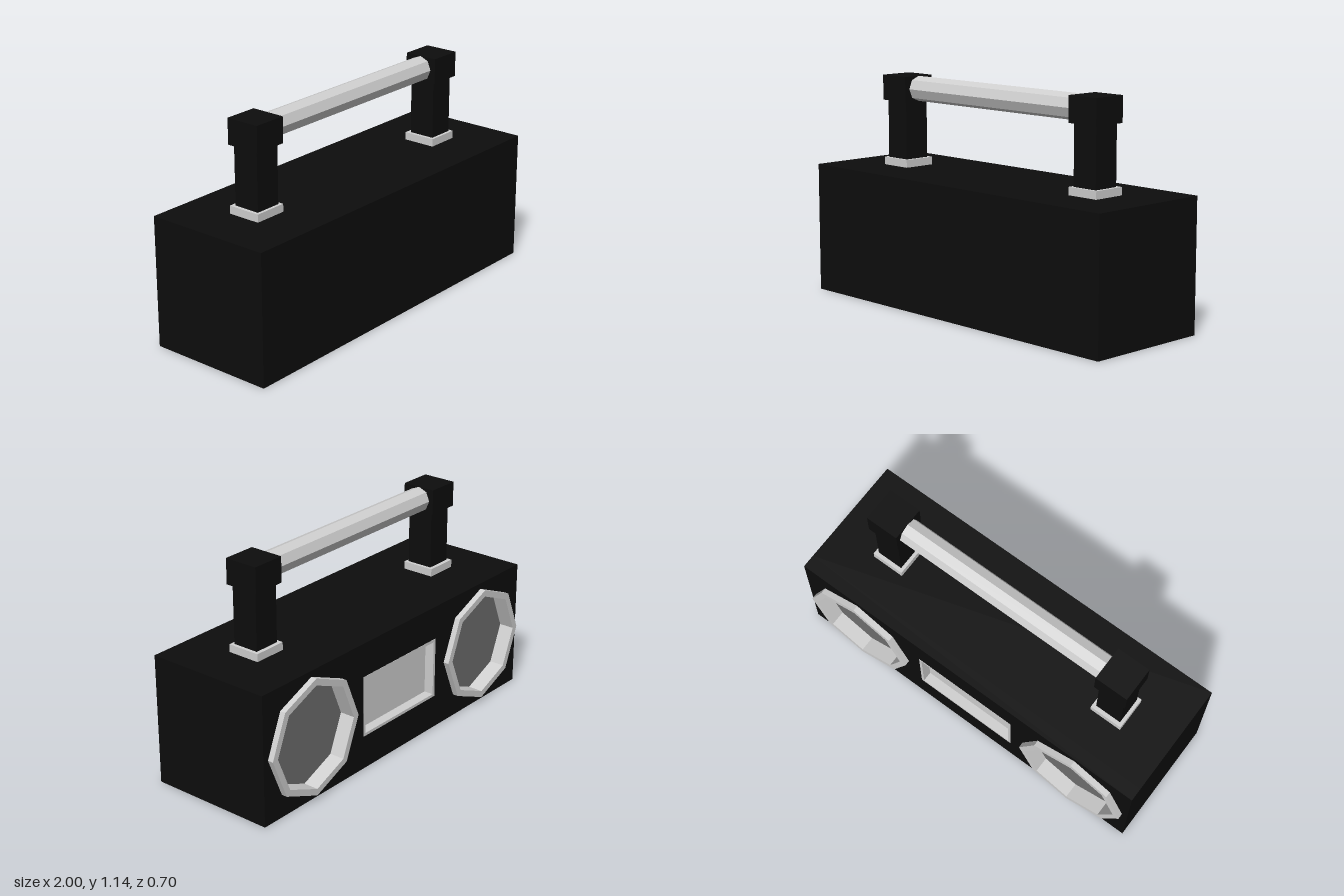
import * as THREE from 'three';

const flat = (name, color) => {
  const m = new THREE.MeshStandardMaterial({ color });
  m.name = name;
  return m;
};

export function createModel() {
  const group = new THREE.Group();
  const black = flat('black casing', 0x0d0d0d);
  const silver = flat('silver trim', 0xd0d0d0);
  const grey = flat('speaker grey', 0x6e6e6e);

  const add = (name, geometry, material, x = 0, y = 0, z = 0) => {
    const mesh = new THREE.Mesh(geometry, material);
    mesh.name = name;
    mesh.position.set(x, y, z);
    group.add(mesh);
    return mesh;
  };
  const box = (name, material, x, y0, y1, z0, z1, w) =>
    add(name, new THREE.BoxGeometry(w, y1 - y0, z1 - z0), material, x, (y0 + y1) / 2, (z0 + z1) / 2);

  // Outline helpers
  const octagon = (r, cx = 0, cy = 0) => Array.from({ length: 8 }, (_, i) =>
    new THREE.Vector2(cx + r * Math.cos(i * Math.PI / 4), cy + r * Math.sin(i * Math.PI / 4)));
  const rect = (w, h, cx = 0, cy = 0) => [[-1, -1], [1, -1], [1, 1], [-1, 1]].map(([a, b]) =>
    new THREE.Vector2(cx + a * w / 2, cy + b * h / 2));
  const extrude = (outline, holes, depth) => {
    const shape = new THREE.Shape(outline);
    shape.holes = holes.map((h) => new THREE.Path(h));
    return new THREE.ExtrudeGeometry(shape, { depth, bevelEnabled: false });
  };

  const midY = 0.335, speakerX = 0.665, speakerR = 0.305;
  const panelW = 0.57, panelH = 0.32;

  // Casing: solid block plus a back plate with openings
  box('body', black, 0, 0, 0.67, -0.25, 0.35, 2);
  add('backPlate', extrude(rect(2, 0.67), [
    octagon(speakerR, -speakerX), octagon(speakerR, speakerX), rect(panelW, panelH),
  ], 0.07), black, 0, midY, -0.32);

  // Recessed centre panel with a slim frame
  add('panelFrame', extrude(rect(panelW, panelH), [rect(panelW - 0.03, panelH - 0.03)], 0.071),
    silver, 0, midY, -0.321);
  add('panel', extrude(rect(panelW - 0.03, panelH - 0.03), [], 0.02), silver, 0, midY, -0.27);

  for (const side of [-1, 1]) {
    // Octagonal speaker: raised rim and sunken face
    add('speakerRim', extrude(octagon(speakerR), [octagon(0.27)], 0.1), silver, side * speakerX, midY, -0.35);
    add('speakerFace', extrude(octagon(0.27), [], 0.02), grey, side * speakerX, midY, -0.27);

    // Handle support
    const x = side * 0.665;
    box('handleFoot', silver, x, 0.67, 0.71, -0.07, 0.105, 0.175);
    box('handlePost', black, x, 0.71, 1.01, -0.05, 0.09, 0.14);
    box('handleCap', black, x, 1.01, 1.14, -0.07, 0.11, 0.175);
  }

  // Octagonal grip bar
  const grip = add('handleGrip', extrude(octagon(0.065), [], 1.17), silver, -0.585, 1.075, 0.018);
  grip.rotation.y = Math.PI / 2;

  return group;
}
